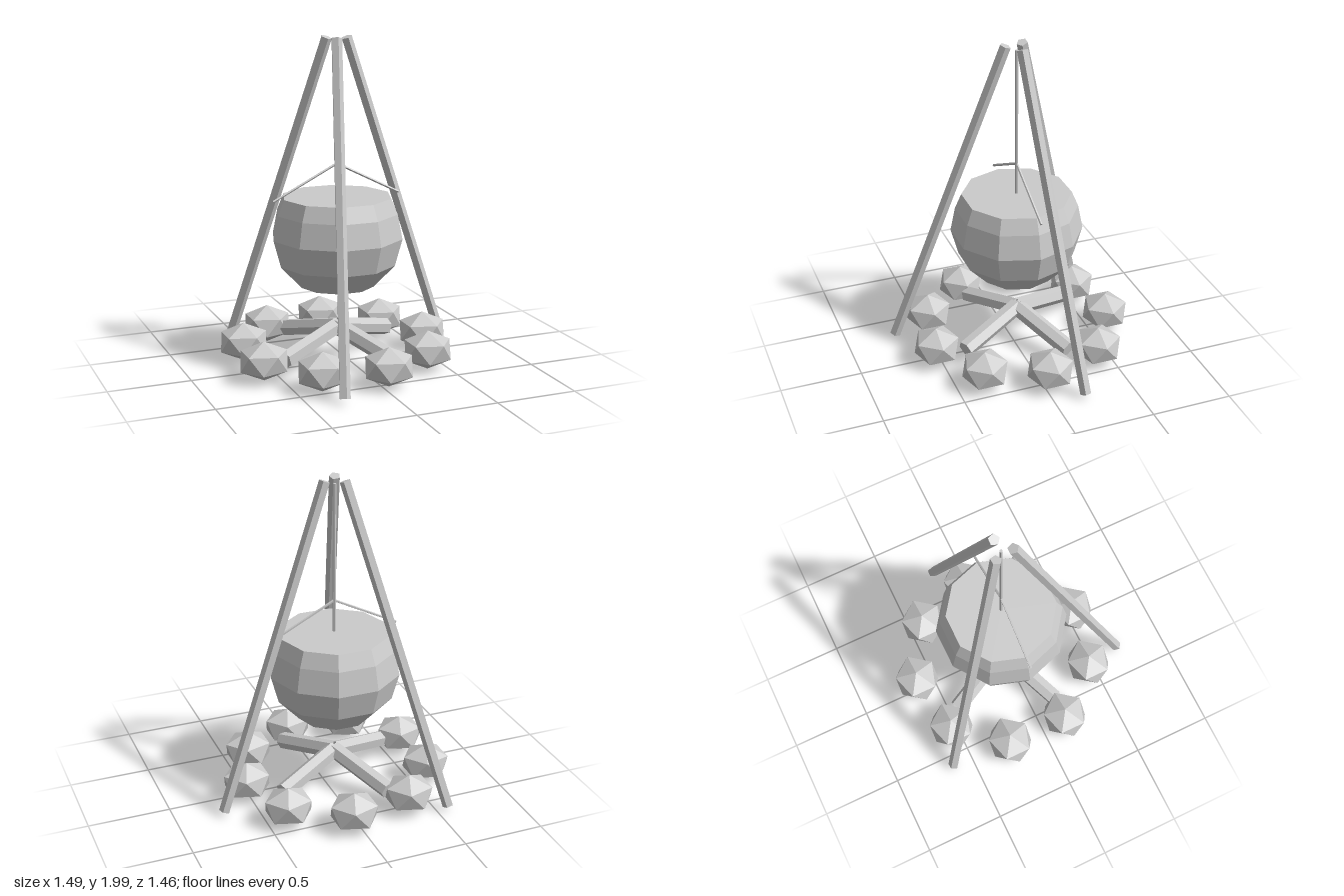
import * as THREE from 'three';

const CX = -0.06, CZ = -0.04; // axis of the pot, fire and stone ring

export function createModel() {
  const group = new THREE.Group();
  const mat = new THREE.MeshStandardMaterial({ color: 0xcccccc, flatShading: true });

  const add = (name, geometry) => {
    const mesh = new THREE.Mesh(geometry, mat);
    mesh.name = name;
    group.add(mesh);
    return mesh;
  };

  // straight faceted rod between two points
  const rod = (name, from, to, radius, sides) => {
    const a = new THREE.Vector3(...from), b = new THREE.Vector3(...to);
    const dir = b.clone().sub(a);
    const mesh = add(name, new THREE.CylinderGeometry(radius, radius, dir.length(), sides));
    mesh.position.copy(a).add(b).multiplyScalar(0.5);
    mesh.quaternion.setFromUnitVectors(new THREE.Vector3(0, 1, 0), dir.normalize());
  };

  // tripod
  rod('tripodLegLeft', [0.71, 0.035, -0.19], [0.005, 1.985, -0.05], 0.034, 5);
  rod('tripodLegBack', [-0.57, 0.035, -0.63], [-0.105, 1.985, -0.09], 0.034, 5);
  rod('tripodLegFront', [-0.305, 0.035, 0.695], [-0.085, 1.985, 0.02], 0.034, 5);

  // pot with a flat, closed top; corners lie on the x axis
  const profile = [[0, 0.485], [0.23, 0.485], [0.36, 0.624], [0.405, 0.79],
    [0.375, 0.94], [0.335, 1.035], [0, 1.035]].map(([r, y]) => new THREE.Vector2(r, y));
  const pot = add('pot', new THREE.LatheGeometry(profile, 10, Math.PI / 2));
  pot.position.set(CX, 0, CZ);

  // hanging rod and the two halves of the handle
  rod('hangingRod', [CX, 1.03, CZ], [CX, 1.96, CZ], 0.01, 6);
  for (const s of [-1, 1]) {
    rod('potHandle', [CX + s * 0.405, 1.03, CZ], [CX, 1.235, CZ], 0.008, 5);
  }

  // four logs leaning together under the pot
  for (let i = 0; i < 4; i++) {
    const a = THREE.MathUtils.degToRad(65 + 90 * i);
    const at = (r, y) => [CX + r * Math.cos(a), y, CZ + r * Math.sin(a)];
    rod('fireLog', at(0.0, 0.22), at(0.45, 0.112), 0.054, 6);
  }

  // ring of nine stones: icosahedra turned so one corner points up
  const stone = new THREE.IcosahedronGeometry(1);
  stone.rotateZ(Math.atan2(1, (1 + Math.sqrt(5)) / 2)); // corner (-1, t, 0) is not yet upright
  stone.rotateZ(-2 * Math.atan2(1, (1 + Math.sqrt(5)) / 2));
  // the corner now stands on the y axis and the ring has a corner along x
  stone.scale(0.162, 0.12, 0.152);
  for (let i = 0; i < 9; i++) {
    const a = (i * 2 * Math.PI) / 9;
    const mesh = add('fireStone', stone);
    mesh.position.set(CX + 0.575 * Math.cos(a), 0.125, CZ + 0.575 * Math.sin(a));
  }
  return group;
}
